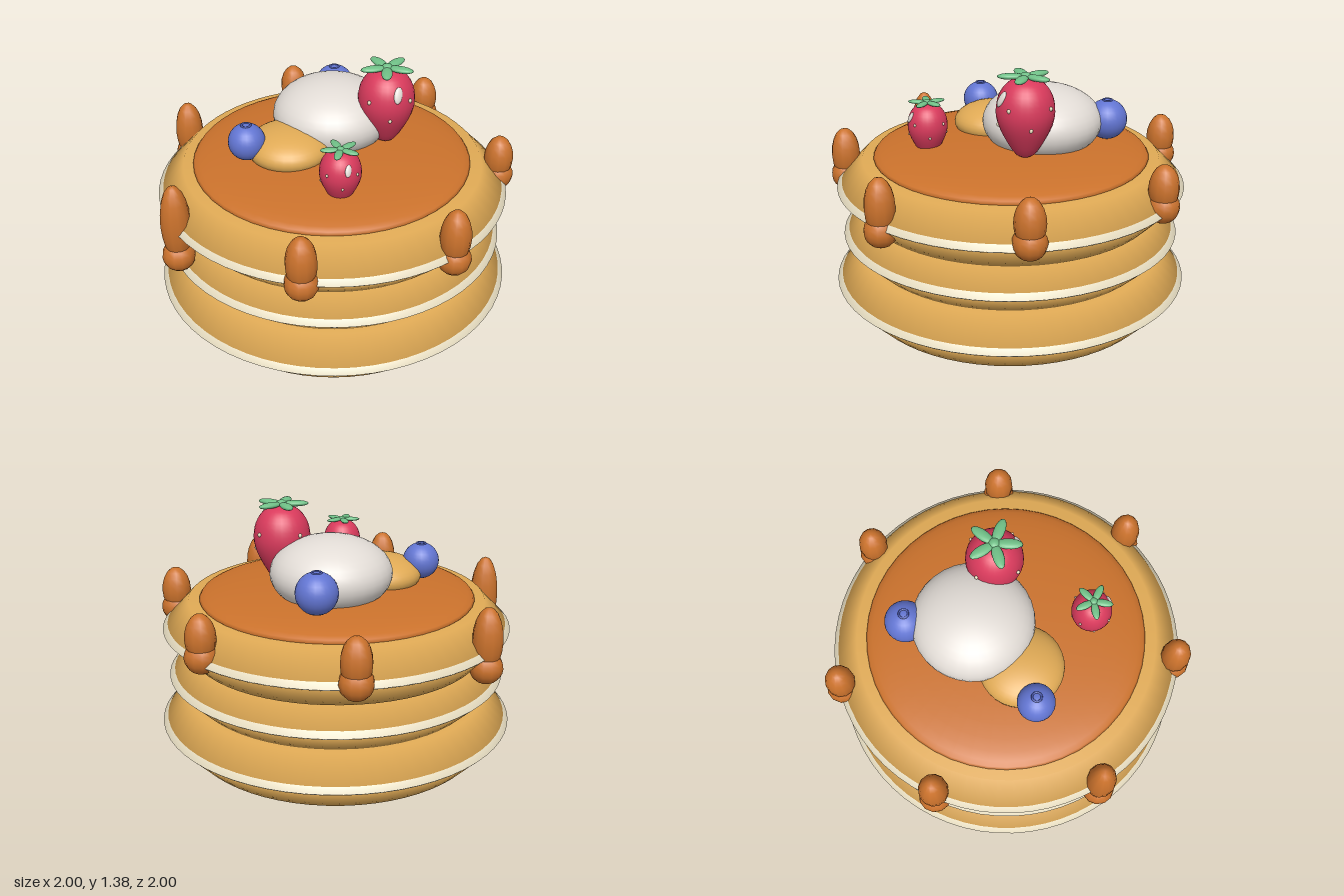
import * as THREE from 'three';

const mat = (name, color) => {
  const m = new THREE.MeshStandardMaterial({ color });
  m.name = name;
  return m;
};

export function createModel() {
  const root = new THREE.Group();
  root.name = 'pancakeStack';
  const batter = mat('golden batter', 0xe0aa55);
  const edge = mat('pale edge', 0xeae0c4);
  edge.side = THREE.DoubleSide;
  const syrup = mat('amber syrup', 0xcb722c);
  const cream = mat('cream', 0xe2dcd6);
  const blue = mat('blueberry', 0x6275d2);
  const crownBlue = mat('dark blueberry', 0x4c5cb4);
  const red = mat('strawberry red', 0xd93a5c);
  const green = mat('leaf green', 0x6fbf86);
  const seedColor = mat('seed', 0xeedfc0);

  const add = (parent, name, geo, material, x = 0, y = 0, z = 0) => {
    const mesh = new THREE.Mesh(geo, material);
    mesh.name = name;
    mesh.position.set(x, y, z);
    parent.add(mesh);
    return mesh;
  };
  const ellipsoid = (rx, ry, rz, w = 32, h = 20) =>
    new THREE.SphereGeometry(1, w, h).scale(rx, ry, rz);
  const lathe = (pts, n = 64) =>
    new THREE.LatheGeometry(pts.map(([r, y]) => new THREE.Vector2(r, y)), n);

  // Three pancakes with bevelled rims and a pale band round each edge
  const cx = -0.018;
  [
    [0, 0.3, 0.84, 0.982, 0],
    [0.3, 0.25, 0.803, 0.93, 0],
    [0.55, 0.295, 0.815, 0.956, -0.005],
  ].forEach(([y, h, r, rim, z]) => {
    const g = new THREE.Group();
    g.name = 'pancake';
    g.position.set(cx, y, z);
    root.add(g);
    add(g, 'pancakeBody', lathe([[0, 0], [r, 0], [rim, h / 2], [r, h], [0, h]]), batter);
    const k = (rim - r) / (h / 2);
    add(g, 'paleBand', lathe([
      [rim - 0.009 * k + 0.003, h / 2 - 0.009],
      [rim + 0.003, h / 2],
      [rim - 0.028 * k + 0.003, h / 2 + 0.028],
    ]), edge);
  });

  // Syrup pool on top
  add(root, 'syrupPool', ellipsoid(0.757, 0.085, 0.757, 48, 20), syrup, cx, 0.85, -0.01);

  // Drips: x, z and the height of the lowest point
  [
    [-0.23, -0.915, 0.545], [0.53, -0.76, 0.63], [0.905, -0.03, 0.64],
    [0.57, 0.7, 0.636], [-0.18, 0.905, 0.583], [-0.825, 0.455, 0.6],
    [-0.895, -0.335, 0.44],
  ].forEach(([x, z, low]) => {
    const g = new THREE.Group();
    g.name = 'syrupDrip';
    g.position.set(x, 0, z);
    root.add(g);
    const ball = low + 0.088, bottom = ball - 0.03, half = (0.957 - bottom) / 2;
    add(g, 'dripStem', ellipsoid(0.08, half, 0.08, 12, 10), syrup, 0, bottom + half, 0);
    add(g, 'dripBead', ellipsoid(0.088, 0.088, 0.088, 12, 10), syrup, 0, ball, 0);
  });

  // Cream scoop and a golden dollop beside it
  add(root, 'creamScoop', ellipsoid(0.328, 0.2, 0.328), cream, 0.117, 1.025, -0.115);
  add(root, 'goldenDollop', ellipsoid(0.228, 0.11, 0.228), batter, -0.22, 0.955, -0.14);

  // Blueberries with a small crown
  [[-0.41, 1.02, -0.27, 0.1], [0.403, 1.025, -0.33, 0.111]].forEach(([x, y, z, r]) => {
    const g = new THREE.Group();
    g.name = 'blueberry';
    g.position.set(x, y, z);
    root.add(g);
    add(g, 'berry', ellipsoid(r, r, r, 24, 16), blue);
    add(g, 'berryCrown', new THREE.TorusGeometry(0.024, 0.006, 6, 16).rotateX(Math.PI / 2),
      crownBlue, 0, r * 0.97, 0);
  });

  // Strawberries: tapered body, five leaves, two rings of seeds and a glint
  const berryCurve = new THREE.SplineCurve([
    [0, 0], [0.05, 0.02], [0.1, 0.095], [0.14, 0.18], [0.154, 0.255],
    [0.14, 0.335], [0.1, 0.395], [0.05, 0.422], [0, 0.43],
  ].map(([r, y]) => new THREE.Vector2(r, y)));
  const profile = berryCurve.getPoints(24);
  profile.forEach((p) => { p.x = Math.max(p.x, 0); });
  const strawberry = (x, y, z, s, turn) => {
    const g = new THREE.Group();
    g.name = 'strawberry';
    g.position.set(x, y, z);
    g.scale.setScalar(s);
    root.add(g);
    add(g, 'strawberryBody', new THREE.LatheGeometry(profile, 28), red);
    for (let i = 0; i < 5; i++) {
      const a = turn + i * Math.PI * 0.4;
      const leaf = add(g, 'leaf', ellipsoid(0.072, 0.016, 0.03, 14, 8), green,
        Math.cos(a) * 0.075, 0.437, Math.sin(a) * 0.075);
      leaf.rotation.y = -a;
    }
    add(g, 'leafCentre', ellipsoid(0.03, 0.02, 0.03, 12, 8), green, 0, 0.438, 0);
    for (let i = 0; i < 8; i++) {
      const a = (i * Math.PI) / 4, upper = i % 2 === 0;
      const r = upper ? 0.154 : 0.142;
      add(g, 'seed', ellipsoid(0.01, 0.012, 0.01, 8, 6), seedColor,
        Math.cos(a) * r, upper ? 0.29 : 0.19, Math.sin(a) * r);
    }
    const glint = add(g, 'glint', ellipsoid(0.024, 0.045, 0.012, 14, 10), cream,
      -0.065, 0.335, 0.122);
    glint.rotation.set(-0.45, -0.45, -0.5);
  };
  strawberry(0.205, 0.92, 0.187, 1, -1.24);
  strawberry(-0.345, 0.85, 0.31, 0.7, -1.1);

  return root;
}
